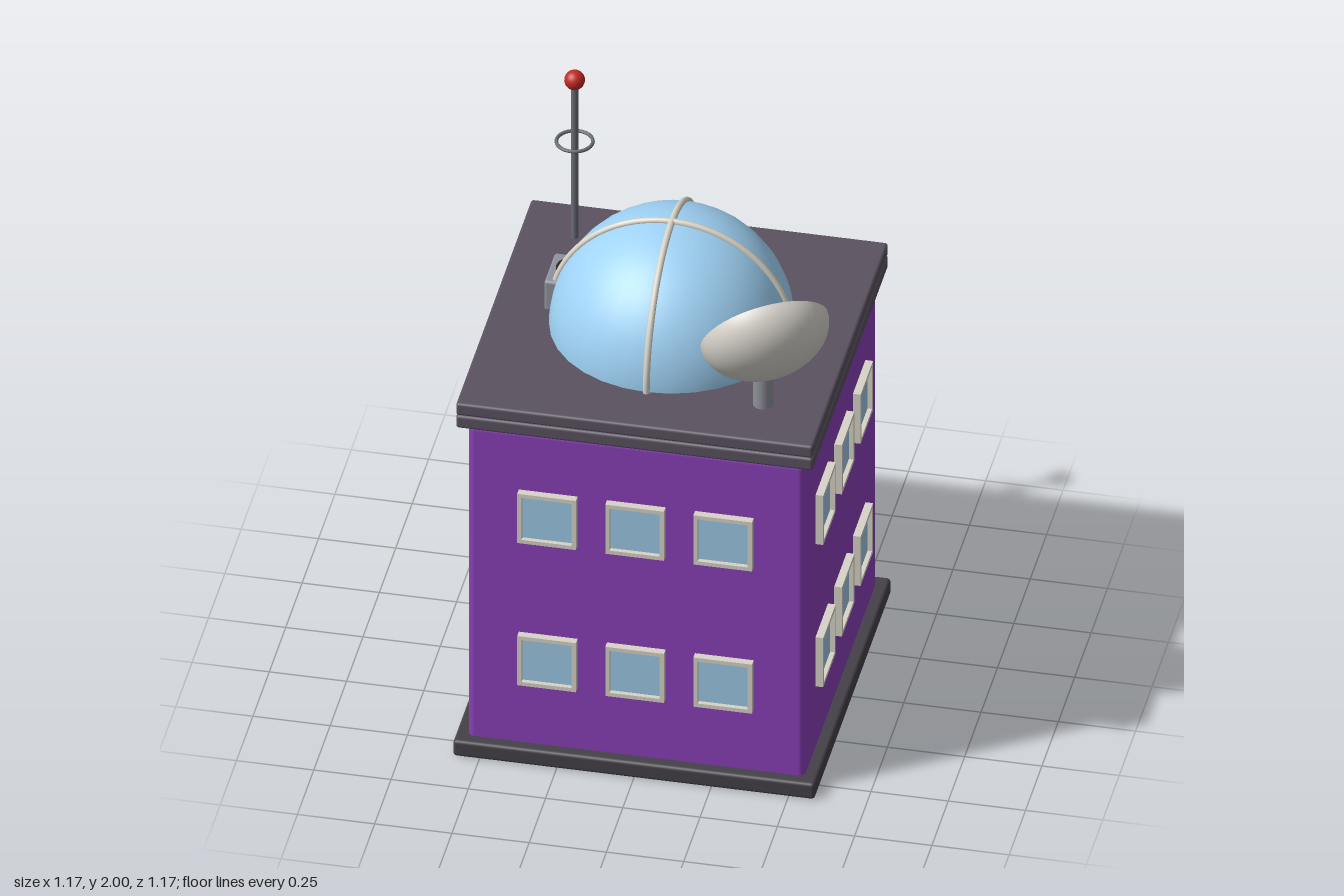
import * as THREE from 'three';
import { RoundedBoxGeometry } from 'three/addons/geometries/RoundedBoxGeometry.js';

const mat = (color, side = THREE.FrontSide) => new THREE.MeshStandardMaterial({ color, side });
const MAT = {
  wall: mat(0x8a40b8), roof: mat(0x5a5260), base: mat(0x454148), cream: mat(0xd8d4c8),
  glass: mat(0x9cc8e6), dome: mat(0x9fd2f5), metal: mat(0x6a6e76), grey: mat(0x8e929a),
  dark: mat(0x2c282b), black: mat(0x141414), red: mat(0xc02a22), orange: mat(0xe8480c),
  green: mat(0x0fb548), lamp: mat(0xe8dc96), dish: mat(0xd8d4cc, THREE.DoubleSide),
};

function add(parent, name, geometry, material, x = 0, y = 0, z = 0) {
  const mesh = new THREE.Mesh(geometry, material);
  mesh.name = name;
  mesh.position.set(x, y, z);
  parent.add(mesh);
  return mesh;
}

const slab = (w, h, d, r) => new RoundedBoxGeometry(w, h, d, 3, r);
const rod = (r, h, n = 20) => new THREE.CylinderGeometry(r, r, h, n);

// Rectangular frame with an opening, extruded outwards along +z
function frameGeometry(w, h, bar, bottomBar, depth) {
  const shape = new THREE.Shape();
  shape.moveTo(-w / 2, -h / 2).lineTo(w / 2, -h / 2).lineTo(w / 2, h / 2).lineTo(-w / 2, h / 2);
  const hole = new THREE.Path();
  const x = w / 2 - bar, y0 = -h / 2 + bottomBar, y1 = h / 2 - bar;
  hole.moveTo(-x, y0).lineTo(-x, y1).lineTo(x, y1).lineTo(x, y0);
  shape.holes.push(hole);
  return new THREE.ExtrudeGeometry(shape, { depth, bevelEnabled: false });
}

const windowFrame = frameGeometry(0.19, 0.19, 0.014, 0.014, 0.035);
const windowGlass = new THREE.BoxGeometry(0.17, 0.17, 0.02);

function makeWindow(x, y) {
  const g = new THREE.Group();
  g.name = 'window';
  add(g, 'windowFrame', windowFrame, MAT.cream, 0, 0, 0.535);
  add(g, 'windowGlass', windowGlass, MAT.glass, 0, 0, 0.545);
  g.position.set(x, y, 0);
  return g;
}

function makeDoor(x, color) {
  const g = new THREE.Group();
  g.name = 'door';
  add(g, 'doorFrame', frameGeometry(0.25, 0.39, 0.022, 0.001, 0.035), color, 0, 0.255, 0.537);
  add(g, 'doorPanel', new THREE.BoxGeometry(0.21, 0.37, 0.02), MAT.dark, 0, 0.245, 0.547);
  add(g, 'doorKnob', new THREE.SphereGeometry(0.01, 14, 10), MAT.grey, -0.06, 0.245, 0.568);
  add(g, 'doorLamp', slab(0.05, 0.028, 0.035, 0.006), MAT.lamp, 0, 0.496, 0.562);
  g.position.x = x;
  return g;
}

function makeDish() {
  const g = new THREE.Group();
  g.name = 'dish';
  const profile = [];
  for (let i = 0; i <= 16; i++) {
    const a = (i / 16) * Math.PI / 2;
    profile.push(new THREE.Vector2(0.21 * Math.sin(a), -0.15 * Math.cos(a)));
  }
  add(g, 'dishBowl', new THREE.LatheGeometry(profile, 40), MAT.dish);
  add(g, 'dishFeed', rod(0.012, 0.22), MAT.black, 0, -0.035, 0);
  g.position.set(0.375, 1.635, 0.362);
  const axis = new THREE.Vector3(-0.43, 0.53, -0.73).normalize();
  g.quaternion.setFromUnitVectors(new THREE.Vector3(0, 1, 0), axis);
  return g;
}

export function createModel() {
  const model = new THREE.Group();
  model.name = 'observatoryBuilding';

  // Building shell
  add(model, 'base', slab(1.17, 0.06, 1.17, 0.012), MAT.base, 0, 0.03, 0);
  add(model, 'walls', slab(1.09, 1.22, 1.09, 0.022), MAT.wall, 0, 0.65, 0);
  add(model, 'roofLower', slab(1.155, 0.048, 1.155, 0.01), MAT.roof, 0, 1.289, 0);
  add(model, 'roofUpper', slab(1.155, 0.046, 1.155, 0.01), MAT.roof, 0, 1.337, 0);

  // Windows on four sides; doors replace the outer ground windows at the back
  ['front', 'left', 'back', 'right'].forEach((name, i) => {
    const side = new THREE.Group();
    side.name = name + 'Side';
    for (const y of [0.39, 0.94]) {
      for (const x of [-0.285, 0, 0.285]) {
        if (name === 'back' && y < 0.5 && x !== 0) continue;
        side.add(makeWindow(x, y));
      }
    }
    if (name === 'back') side.add(makeDoor(-0.38, MAT.orange), makeDoor(0.38, MAT.green));
    side.rotation.y = i * Math.PI / 2;
    model.add(side);
  });

  // Glass dome with two crossing ribs
  const domeGeo = new THREE.SphereGeometry(0.39, 32, 20, 0, Math.PI * 2, 0, Math.PI / 2);
  add(model, 'dome', domeGeo, MAT.dome, 0, 1.36, 0);
  for (const turn of [0, Math.PI / 2]) {
    const rib = new THREE.TorusGeometry(0.392, 0.011, 10, 48, Math.PI);
    add(model, 'domeRib', rib, MAT.cream, 0, 1.36, 0).rotation.y = turn;
  }

  // Ventilation unit tucked into the dome edge
  add(model, 'ventBox', slab(0.16, 0.115, 0.165, 0.01), MAT.grey, -0.33, 1.4175, -0.0625);
  add(model, 'ventFan', rod(0.056, 0.012, 24), MAT.dark, -0.333, 1.475, -0.068);

  // Antenna mast
  add(model, 'antennaMast', rod(0.012, 0.6), MAT.metal, -0.4, 1.655, -0.4);
  const ring = new THREE.TorusGeometry(0.058, 0.006, 10, 36);
  add(model, 'antennaRing', ring, MAT.metal, -0.4, 1.73, -0.4).rotation.x = Math.PI / 2;
  add(model, 'antennaBall', new THREE.SphereGeometry(0.033, 24, 16), MAT.red, -0.4, 1.967, -0.4);

  // Dish on its post
  add(model, 'dishPost', rod(0.033, 0.16, 24), MAT.grey, 0.375, 1.44, 0.375);
  model.add(makeDish());

  return model;
}
